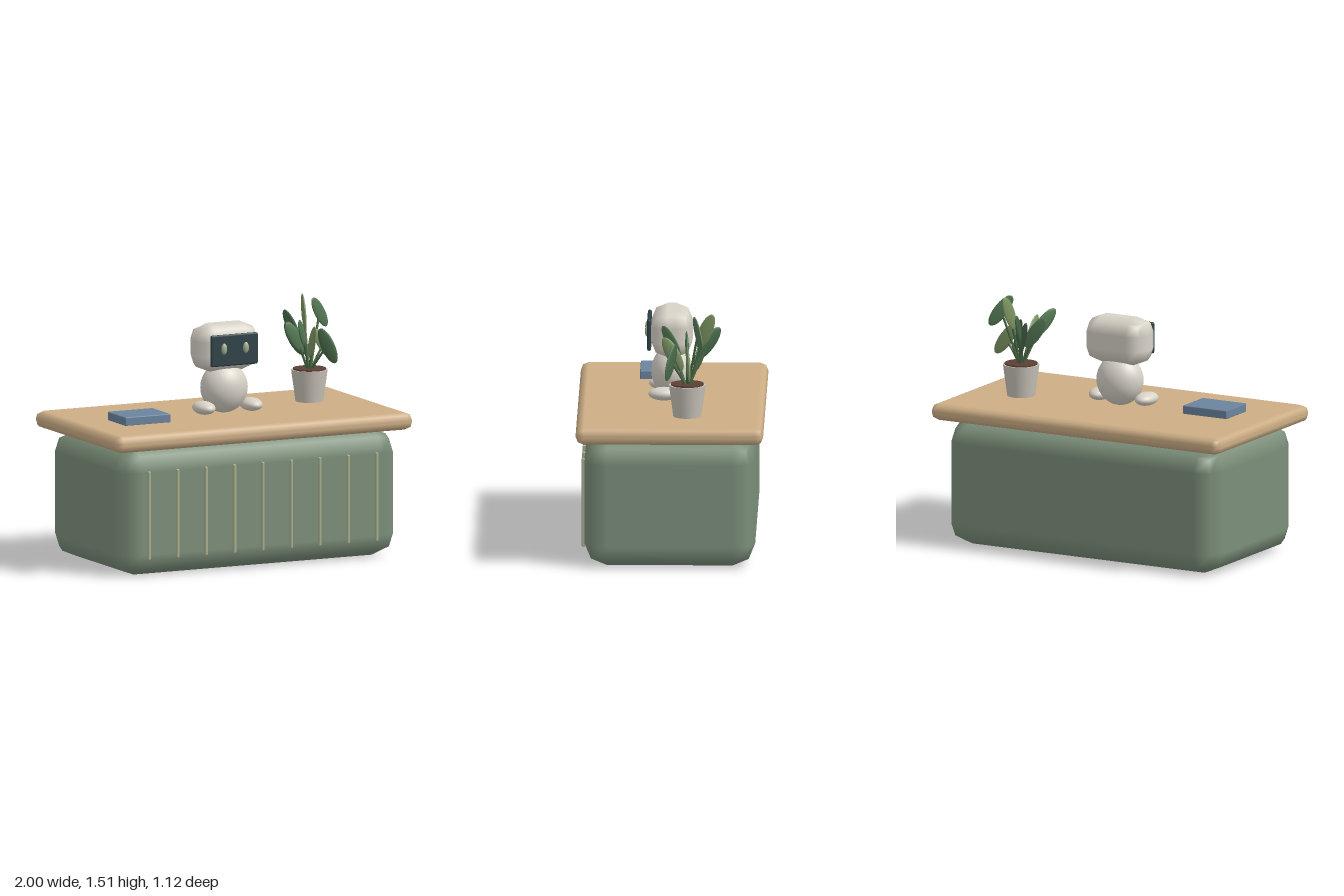
import * as THREE from 'three';
import { RoundedBoxGeometry } from 'three/addons/geometries/RoundedBoxGeometry.js';

const material = (color) => new THREE.MeshStandardMaterial({ color });
const MAT = {
  cabinet: material(0x7c8f7a), slat: material(0xa8b08e), wood: material(0xcdae86),
  shell: material(0xd8d3c8), screen: material(0x2e4248), eye: material(0xa3ad8c),
  book: material(0x6b849e), pot: material(0xc9c4ba), soil: material(0x5b4036),
  stem: material(0x4a6844),
  leaves: [material(0x567a56), material(0x7d9563), material(0x466849)],
};

function add(parent, name, geometry, mat, x = 0, y = 0, z = 0) {
  const mesh = new THREE.Mesh(geometry, mat);
  mesh.name = name;
  mesh.position.set(x, y, z);
  parent.add(mesh);
  return mesh;
}

const rounded = (w, h, d, r) => new RoundedBoxGeometry(w, h, d, 1, r);
const ellipsoid = (rx, ry, rz) => new THREE.SphereGeometry(1, 28, 18).scale(rx, ry, rz);

function group(parent, name) {
  const g = new THREE.Group();
  g.name = name;
  parent.add(g);
  return g;
}

function buildDesk(root) {
  const desk = group(root, 'desk');
  add(desk, 'cabinet', rounded(1.87, 0.77, 1.025, 0.135), MAT.cabinet, 0, 0.385, 0);
  add(desk, 'tabletop', rounded(2, 0.104, 1.125, 0.047), MAT.wood, 0, 0.822, 0);
  // Nine vertical slats across the front
  for (let i = -4; i <= 4; i++) {
    add(desk, 'frontSlat', rounded(0.019, 0.54, 0.024, 0.007), MAT.slat, i * 0.191, 0.376, 0.518);
  }
}

function buildRobot(root) {
  const robot = group(root, 'robot');
  add(robot, 'body', ellipsoid(0.147, 0.154, 0.125), MAT.shell, 0, 1.024, 0);
  add(robot, 'head', rounded(0.414, 0.29, 0.25, 0.1), MAT.shell, 0, 1.273, 0);
  add(robot, 'faceScreen', rounded(0.316, 0.192, 0.024, 0.011), MAT.screen, 0, 1.271, 0.135);
  for (const side of [-1, 1]) {
    add(robot, 'eye', ellipsoid(0.019, 0.034, 0.015), MAT.eye, side * 0.073, 1.281, 0.147);
    add(robot, 'foot', ellipsoid(0.063, 0.04, 0.095), MAT.shell, side * 0.158, 0.916, 0.045);
  }
}

function buildPlant(root) {
  const plant = group(root, 'pottedPlant');
  const x = 0.625, z = -0.102;
  add(plant, 'pot', new THREE.CylinderGeometry(0.11, 0.084, 0.192, 28), MAT.pot, x, 0.974, z);
  add(plant, 'soil', new THREE.CylinderGeometry(0.099, 0.099, 0.02, 28), MAT.soil, x, 1.068, z);

  // Each leaf: centre, then the direction of its long axis
  const leaves = [
    [[0.727, 1.4, -0.168], [0.13, -0.19, -0.055]],
    [[0.642, 1.4, -0.212], [0.02, 0.19, -0.08]],
    [[0.57, 1.315, -0.23], [-0.04, 0.18, -0.13]],
    [[0.527, 1.31, -0.005], [-0.11, 0.19, 0.12]],
    [[0.727, 1.215, -0.11], [0.125, -0.175, -0.015]],
    [[0.7, 1.22, -0.006], [0.07, -0.19, 0.05]],
    [[0.53, 1.27, -0.1], [-0.12, 0.17, 0.01]],
    [[0.598, 1.25, -0.015], [-0.01, 0.18, 0.1]],
    [[0.567, 1.25, -0.18], [-0.08, 0.18, -0.06]],
  ];
  leaves.forEach(([centre, axis], i) => {
    const tip = new THREE.Vector3(...centre);
    const along = new THREE.Vector3(...axis).normalize();
    // Blade stands in the vertical plane through its axis
    const normal = new THREE.Vector3().crossVectors(along, new THREE.Vector3(0, 1, 0)).normalize();
    const across = new THREE.Vector3().crossVectors(along, normal);
    const leaf = add(plant, 'leaf', ellipsoid(0.042, 0.114, 0.011), MAT.leaves[i % 3], ...centre);
    leaf.quaternion.setFromRotationMatrix(new THREE.Matrix4().makeBasis(across, along, normal));

    const root = new THREE.Vector3(x + (tip.x - x) * 0.12, 1.07, z + (tip.z - z) * 0.12);
    const bend = root.clone().lerp(tip, 0.5).add(new THREE.Vector3(0, 0.015, 0));
    const path = new THREE.QuadraticBezierCurve3(root, bend, tip);
    add(plant, 'stem', new THREE.TubeGeometry(path, 8, 0.007, 8), MAT.stem);
  });
}

export function createModel() {
  const root = new THREE.Group();
  root.name = 'receptionDesk';
  buildDesk(root);
  buildRobot(root);
  buildPlant(root);
  add(root, 'book', rounded(0.304, 0.054, 0.243, 0.006), MAT.book, -0.609, 0.898, 0.078);
  return root;
}
